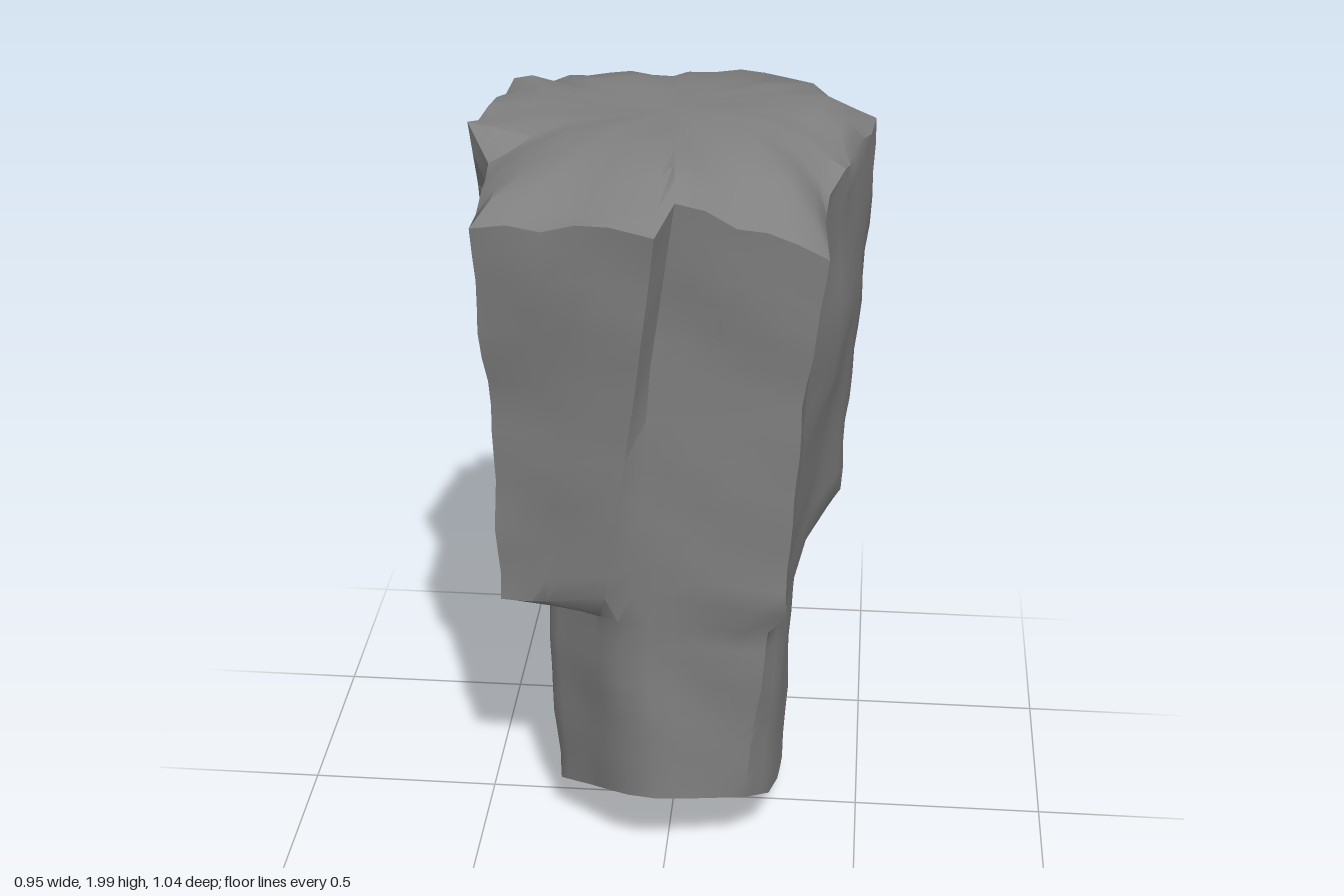
import * as THREE from 'three';
import { toCreasedNormals } from 'three/addons/utils/BufferGeometryUtils.js';

// Half of the outline corners, as [x, z] at rim, shoulder, above the ledge, below the ledge and at the base.
const HALF = [
  [[0.04, 0.45], [-0.02, 0.41], [-0.07, 0.38], [-0.03, 0.38], [-0.02, 0.365]],
  [[0.38, 0.41], [0.335, 0.395], [0.305, 0.38], [0.26, 0.33], [0.21, 0.31]],
  [[0.38, 0.19], [0.345, 0.24], [0.31, 0.27], [0.295, 0.25], [0.27, 0.22]],
  [[0.41, 0.13], [0.41, 0.11], [0.34, 0.02], [0.31, 0.00], [0.285, 0.00]],
  [[0.475, -0.25], [0.465, -0.23], [0.42, -0.22], [0.32, -0.11], [0.29, -0.10]],
  [[0.42, -0.30], [0.44, -0.31], [0.415, -0.30], [0.30, -0.18], [0.28, -0.155]],
  [[0.42, -0.44], [0.405, -0.385], [0.40, -0.36], [0.225, -0.255], [0.20, -0.23]],
  [[0.10, -0.515], [0.16, -0.455], [0.25, -0.385], [0.16, -0.32], [0.15, -0.285]],
  [[0.00, -0.52], [0.05, -0.46], [0.14, -0.39], [0.11, -0.37], [0.09, -0.34]],
];
// The other half is turned by 180 degrees, apart from its left flank.
const CORNERS = [...HALF, ...HALF.map(c => c.map(([x, z]) => [-x, -z]))];
CORNERS[11] = [[-0.38, -0.29], [-0.35, -0.28], [-0.32, -0.26], [-0.30, -0.25], [-0.27, -0.22]];
CORNERS[12] = [[-0.41, -0.26], [-0.385, -0.18], [-0.36, -0.05], [-0.32, 0.00], [-0.30, 0.00]];
CORNERS[13] = [[-0.48, 0.11], [-0.415, 0.13], [-0.40, 0.18], [-0.32, 0.11], [-0.30, 0.10]];
CORNERS[14] = [[-0.42, 0.16], [-0.41, 0.22], [-0.405, 0.28], [-0.31, 0.17], [-0.29, 0.145]];
const RIM = [1.93, 1.80, 1.86, 1.89, 1.88, 1.88, 1.81, 1.86, 1.88, 1.90, 1.86, 1.92, 1.95, 1.97, 1.90, 1.85, 1.89, 1.88];

const mix = (a, b, t) => a + (b - a) * t;

// Soft, repeatable bumps on the stone
const bump = (x, y, z) =>
  0.009 * Math.sin(7 * y + 9 * x + 2 * Math.sin(8 * z)) +
  0.008 * Math.sin(13 * y - 11 * z + 3 * Math.sin(6 * x)) +
  0.007 * Math.sin(25 * y + 17 * x - 13 * z);

// Columns around the outline, with long edges divided
function makeColumns() {
  const columns = [];
  CORNERS.forEach((a, i) => {
    const j = (i + 1) % CORNERS.length, b = CORNERS[j];
    const length = Math.hypot(b[0][0] - a[0][0], b[0][1] - a[0][1]);
    const n = Math.max(1, Math.round(length / 0.075));
    for (let k = 0; k < n; k++) {
      const t = k / n;
      columns.push({
        p: a.map((q, s) => [mix(q[0], b[s][0], t), mix(q[1], b[s][1], t)]),
        rim: mix(RIM[i], RIM[j], t) + 0.01 * Math.sin(columns.length * 2.3),
      });
    }
  });
  return columns;
}

function makeRock() {
  const columns = makeColumns(), rings = [];
  const ledge = c => 0.85 + 0.02 * Math.sin(9 * c.p[2][0] + 5 * c.p[2][1]);
  const shoulder = c => mix(ledge(c), c.rim, 0.6);
  // Lower edge: high at the front, low along the flanks, rising a little at the back
  const base = c => 0.07 + Math.max(0, 0.5 * c.p[4][1], 1.2 * (-c.p[4][1] - 0.22));

  // Rings of one wall section, from a lower to an upper station
  const addWall = (lower, upper, yLow, yHigh, first, steps) => {
    for (let k = first; k <= steps; k++) {
      const t = k / steps;
      rings.push(columns.map(c => {
        const x = mix(c.p[lower][0], c.p[upper][0], t), z = mix(c.p[lower][1], c.p[upper][1], t);
        const y = mix(yLow(c), yHigh(c), t), s = 1 + bump(x, y, z);
        return [x * s, y, z * s];
      }));
    }
  };

  // Slanted underside, from the lowest point outwards
  for (const s of [0, 0.35, 0.65, 0.85]) {
    rings.push(columns.map(c => {
      const [x, z] = c.p[4];
      return [mix(0.09, x, s), base(c) * s ** (z < -0.15 ? 3 : 1), mix(-0.17, z, s)];
    }));
  }
  // Lower shaft, then the ledge and the upper block
  addWall(4, 3, base, c => ledge(c) - 0.08, 0, 9);
  addWall(2, 1, ledge, shoulder, 0, 9);
  addWall(1, 0, shoulder, c => c.rim, 1, 6);
  // Domed top
  for (const [s, t] of [[0.9, 0.35], [0.76, 0.7], [0.55, 0.92], [0.3, 1], [0, 1]]) {
    rings.push(columns.map(c => {
      const x = c.p[0][0] * s, z = c.p[0][1] * s;
      const y = mix(c.rim, 1.985, t) + 1.2 * s * bump(x, 0, z);
      return [x, Math.min(2, y), z];
    }));
  }

  // Skin the rings
  const n = columns.length, last = rings.length - 1, index = [];
  for (let r = 0; r < last; r++) {
    for (let i = 0; i < n; i++) {
      const a = r * n + i, b = r * n + (i + 1) % n, c = b + n, d = a + n;
      if (r > 0) index.push(a, b, c);
      if (r < last - 1) index.push(a, c, d);
    }
  }
  const geometry = new THREE.BufferGeometry();
  geometry.setAttribute('position', new THREE.Float32BufferAttribute(rings.flat(2), 3));
  geometry.setIndex(index);
  return toCreasedNormals(geometry, 0.75);
}

export function createModel() {
  const group = new THREE.Group();
  group.name = 'rockPillar';
  const stone = new THREE.MeshStandardMaterial({ color: 0x808080 });
  stone.name = 'grey stone';
  const rock = new THREE.Mesh(makeRock(), stone);
  rock.name = 'rock';
  group.add(rock);
  return group;
}
